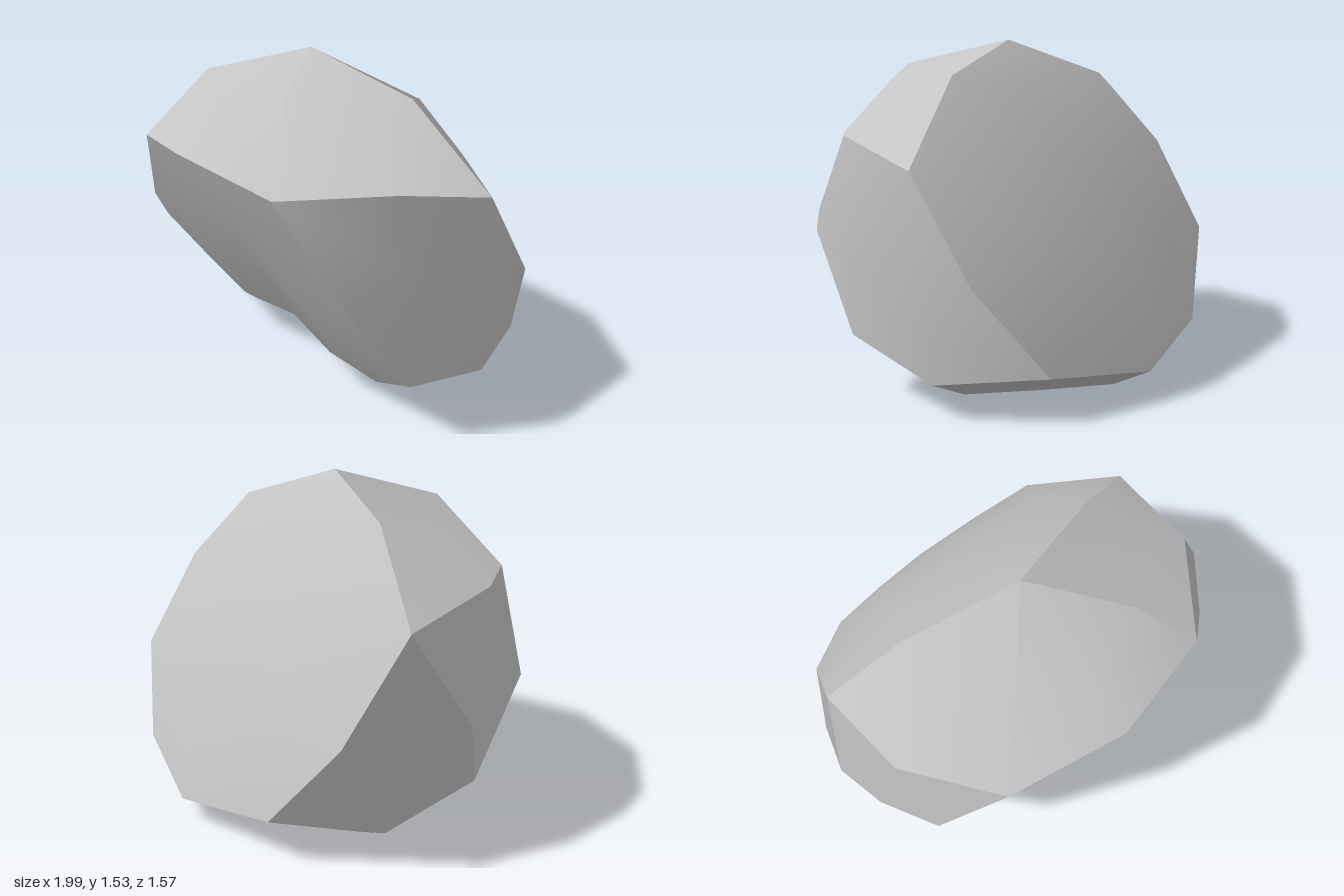
import * as THREE from 'three';
import { toCreasedNormals } from 'three/addons/utils/BufferGeometryUtils.js';

export function createModel() {
  const group = new THREE.Group();
  group.name = 'boulder';
  const stone = new THREE.MeshStandardMaterial({ color: 0xc4c4c4 });
  stone.name = 'grey stone';

  const v = (x, y, z) => new THREE.Vector3(x, y, z);
  const core = v(0, 0.7, 0);

  // Corners of an uneven icosahedron: crown, upper ring, lower ring, underside
  const crown = v(-0.03, 1.53, 0.07);
  const upper = [v(-0.71, 1.1, 0.45), v(0.3, 1.1, 0.78), v(0.88, 1.02, 0.07), v(0.13, 1.01, -0.45), v(-0.76, 1.01, -0.46)];
  const lower = [v(-0.15, 0.62, 0.4), v(0.75, 0.27, 0.45), v(0.71, 0.2, -0.46), v(-0.3, 0.2, -0.785), v(-0.88, 0.27, -0.08)];
  const under = v(0.02, 0.05, -0.05);

  // Twenty large faces
  const corners = [];
  for (let i = 0; i < 5; i++) {
    const j = (i + 1) % 5;
    corners.push(crown, upper[i], upper[j]);
    corners.push(upper[i], lower[i], upper[j]);
    corners.push(upper[j], lower[i], lower[j]);
    corners.push(under, lower[j], lower[i]);
  }

  // Blend the shading over shallow edges and keep the steep ones crisp
  const blank = new THREE.BufferGeometry().setFromPoints(corners);
  const shading = toCreasedNormals(blank, Math.PI / 4).attributes.normal;

  // Push the average of some corners away from the core, resting on the ground
  const average = (points) => points.reduce((sum, p) => sum.add(p), v(0, 0, 0)).divideScalar(points.length);
  const bulge = (points, factor) => {
    const p = average(points).sub(core).multiplyScalar(factor).add(core);
    p.y = Math.max(p.y, 0);
    return p;
  };

  // Each large face becomes a fan of six triangles around a raised centre
  const points = [];
  const normals = [];
  for (let f = 0; f < corners.length; f += 3) {
    const face = corners.slice(f, f + 3);
    const faceNormals = [0, 1, 2].map((k) => v(0, 0, 0).fromBufferAttribute(shading, f + k));
    const centre = bulge(face, 1.27);
    const centreNormal = average(faceNormals).normalize();
    face.forEach((a, k) => {
      const next = (k + 1) % 3;
      const mid = bulge([a, face[next]], 1.176);
      const midNormal = average([faceNormals[k], faceNormals[next]]).normalize();
      points.push(centre, a, mid, centre, mid, face[next]);
      normals.push(centreNormal, faceNormals[k], midNormal, centreNormal, midNormal, faceNormals[next]);
    });
  }

  const geometry = new THREE.BufferGeometry().setFromPoints(points);
  geometry.setAttribute('normal', new THREE.Float32BufferAttribute(normals.flatMap((n) => n.toArray()), 3));
  const rock = new THREE.Mesh(geometry, stone);
  rock.name = 'rock';
  group.add(rock);
  return group;
}
